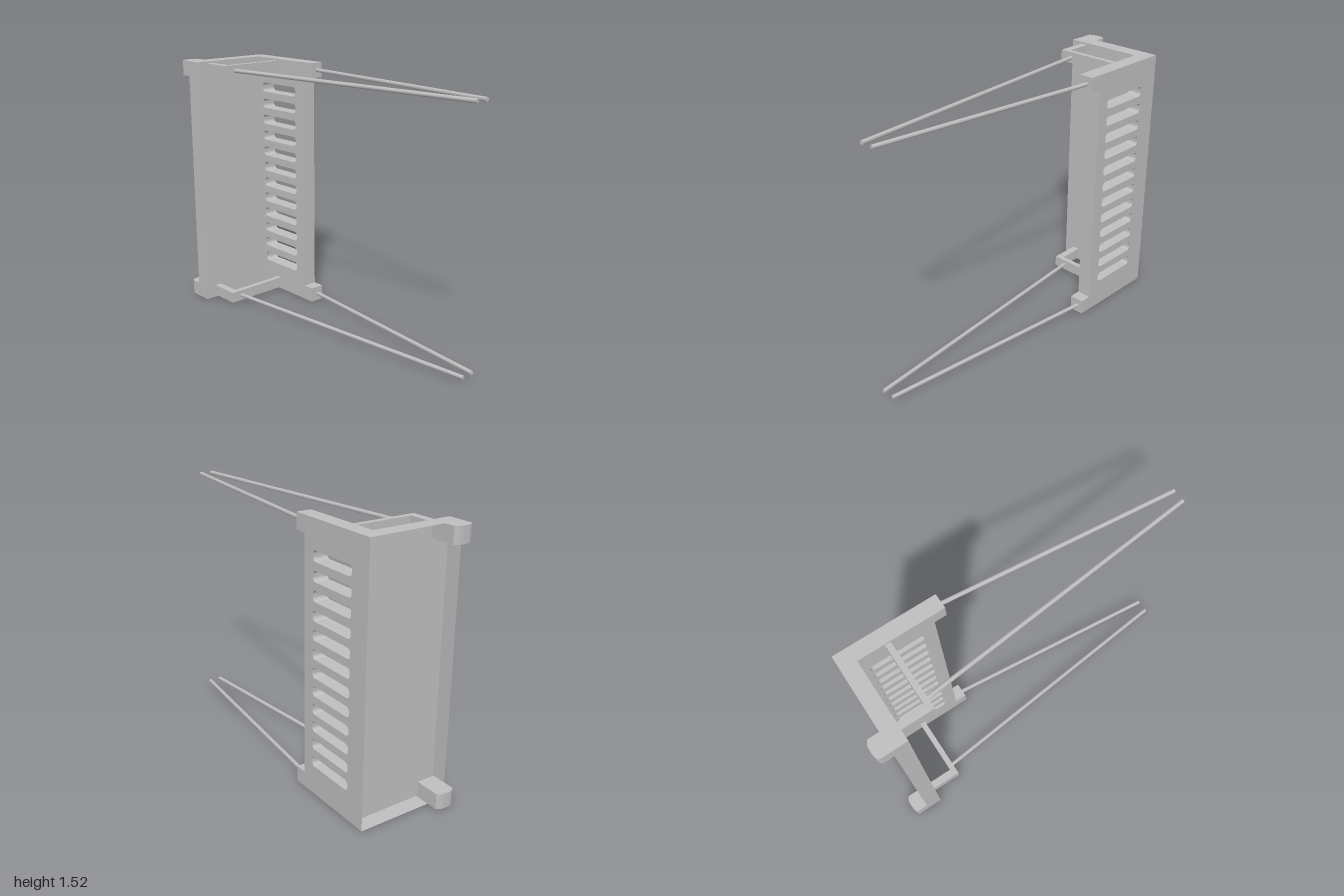
import * as THREE from 'three';

const H = 1.52;            // overall height
const X = 0.277;           // half width
const WALL = 0.19;         // inner face of the slotted side wall
const FACE = -0.83;        // front face of the back panel

export function createModel() {
  const root = new THREE.Group();
  root.name = 'slottedBracket';
  const grey = new THREE.MeshStandardMaterial({ color: 0xbfbfbf, side: THREE.DoubleSide });
  grey.name = 'light grey';

  const add = (name, geometry) => {
    const mesh = new THREE.Mesh(geometry, grey);
    mesh.name = name;
    root.add(mesh);
    return mesh;
  };

  // Box from its min and max corners
  const box = (x0, x1, y0, y1, z0, z1) =>
    new THREE.BoxGeometry(x1 - x0, y1 - y0, z1 - z0)
      .translate((x0 + x1) / 2, (y0 + y1) / 2, (z0 + z1) / 2);

  // Back panel: shallow tray, open to the rear (rear face is the last six indices)
  const tray = box(-X, X, 0, H, -0.92, FACE);
  tray.setIndex(Array.from(tray.index.array).slice(0, 30));
  tray.clearGroups();
  add('backPanel', tray);

  // Side wall: profile in (-z, y) with a foot at each end and a column of slots
  const wall = new THREE.Shape([
    [0.34, 0], [-FACE, 0], [-FACE, H], [0.34, H],
    [0.34, H - 0.09], [0.41, H - 0.09], [0.41, 0.09], [0.34, 0.09],
  ].map(([u, y]) => new THREE.Vector2(u, y)));
  const u0 = 0.483, u1 = 0.795, half = 0.029, r = 0.022;
  for (let i = 0; i < 12; i++) {
    const y = 0.197 + i * 0.1032, a = y - half, b = y + half;
    const slot = new THREE.Path();
    slot.moveTo(u0 + r, a);
    slot.lineTo(u1 - r, a);
    slot.absarc(u1 - r, a + r, r, -Math.PI / 2, 0);
    slot.absarc(u1 - r, b - r, r, 0, Math.PI / 2);
    slot.absarc(u0 + r, b - r, r, Math.PI / 2, Math.PI);
    slot.absarc(u0 + r, a + r, r, Math.PI, Math.PI * 1.5);
    wall.holes.push(slot);
  }
  const wallGeo = new THREE.ExtrudeGeometry(wall, { depth: X - WALL, bevelEnabled: false, curveSegments: 4 });
  wallGeo.rotateY(Math.PI / 2).translate(WALL, 0, 0);
  add('slottedSideWall', wallGeo);

  // Rear hook outline in (x, -z), with rounded outer corners
  const hook = new THREE.Shape();
  hook.moveTo(-X, 0.835);
  hook.lineTo(-0.165, 0.835);
  hook.lineTo(-0.165, 0.98);
  hook.quadraticCurveTo(-0.18, 1, -0.21, 1);
  hook.lineTo(-0.235, 1);
  hook.quadraticCurveTo(-0.262, 1, -X, 0.982);

  // Straight round rod between two points
  const rod = (a, b) => {
    const dir = b.clone().sub(a);
    const geo = new THREE.CylinderGeometry(0.012, 0.012, dir.length(), 8);
    geo.applyQuaternion(new THREE.Quaternion().setFromUnitVectors(
      new THREE.Vector3(0, 1, 0), dir.clone().normalize()));
    const mid = a.clone().add(b).multiplyScalar(0.5);
    return geo.translate(mid.x, mid.y, mid.z);
  };

  // Matching fittings at the bottom and the top
  for (const [end, base, mid] of [['lower', 0, 0.046], ['upper', H - 0.09, H - 0.044]]) {
    const hookGeo = new THREE.ExtrudeGeometry(hook, { depth: 0.09, bevelEnabled: false, curveSegments: 5 });
    hookGeo.rotateX(-Math.PI / 2).translate(0, base, 0);
    add(end + 'Hook', hookGeo);

    const y0 = mid - 0.033, y1 = mid + 0.033;
    add(end + 'FrameArm', box(-0.21, -0.165, y0, y1, FACE, -0.648));
    add(end + 'FrameBar', box(-0.165, WALL, y0, y1, -0.68, -0.648));

    add(end + 'RightRod', rod(new THREE.Vector3(-0.137, mid, -0.66), new THREE.Vector3(0.031, mid, 0.999)));
    add(end + 'LeftRod', rod(new THREE.Vector3(0.24, mid, -0.35), new THREE.Vector3(0.103, mid, 0.999)));
  }
  return root;
}
